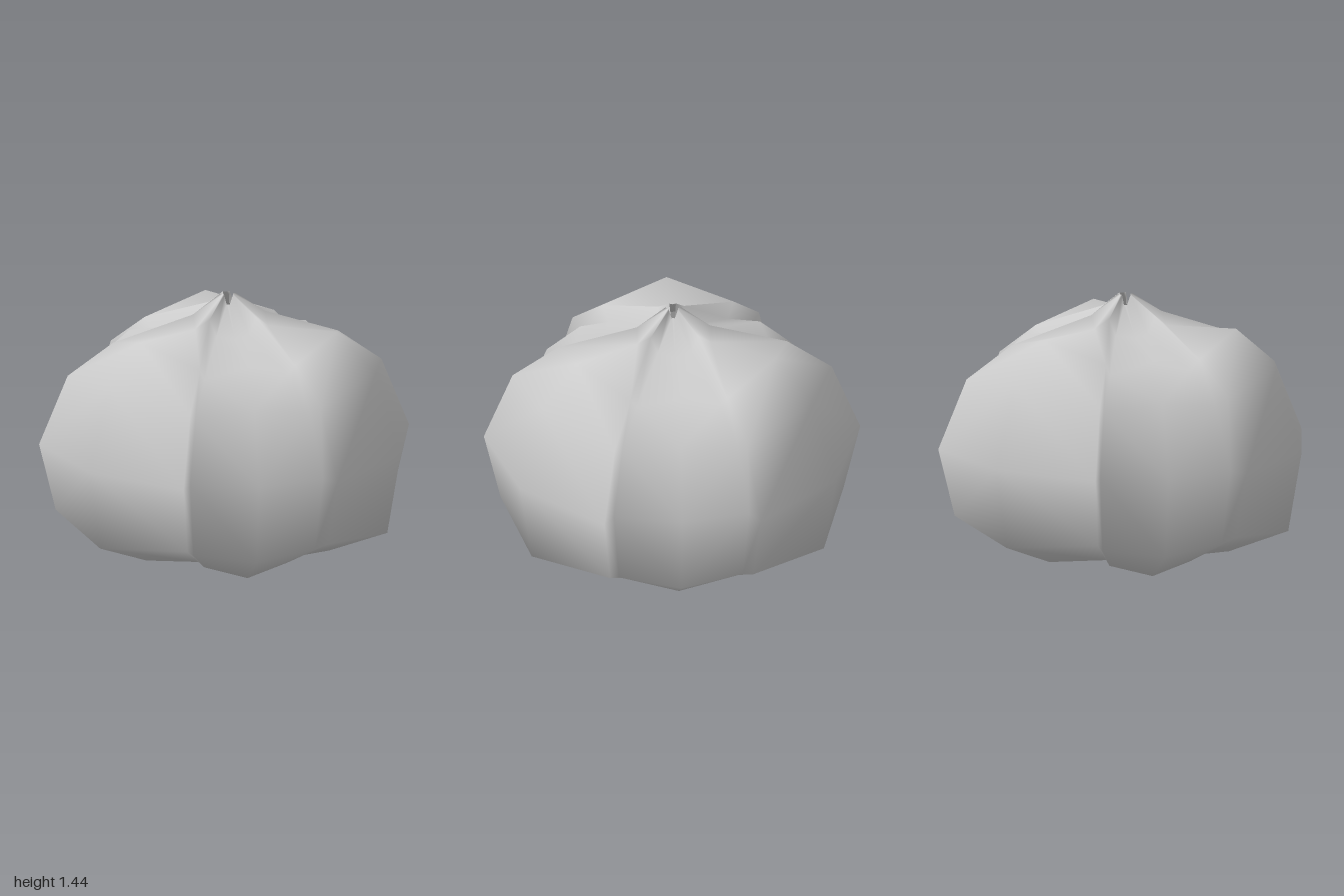
import * as THREE from 'three';

const DEG = Math.PI / 180;

// Profiles from base to tip: [radius, height, angle from the outer petal's middle]
const MIDDLE = [
  [0, 0.04, 0], [0.58, 0.05, 0], [0.91, 0.18, 0], [0.985, 0.62, 0],
  [0.845, 1.07, 0], [0.62, 1.28, 0], [0.23, 1.28, 0], [0.03, 1.44, 0],
];
const EDGE = [
  [0, 0.04, 35], [0.6, 0.1, 35], [0.93, 0.25, 35.5], [1.02, 0.62, 35.5],
  [0.865, 1.0, 35.5], [0.62, 1.18, 35], [0.2, 1.34, 20], [0.042, 1.44, 25],
];
const VALLEY = [
  [0, 0.04, 36], [0.56, 0.06, 36], [0.82, 0.2, 36], [0.895, 0.61, 36],
  [0.77, 0.95, 36], [0.55, 1.11, 36], [0.17, 1.24, 28], [0.02, 1.38, 35],
];
const INNER = [
  [0, 0.04, 60], [0.56, 0.0, 60], [0.82, 0.16, 60], [0.88, 0.6, 60],
  [0.76, 0.99, 60], [0.56, 1.18, 60], [0.21, 1.24, 60], [0.015, 1.38, 60],
];

// Three overlapping outer petals, folded into the three inner petals between them
function budGeometry() {
  const columns = [];
  for (let i = 0; i < 3; i++) {
    const add = (profile, side) => columns.push(profile.map(([r, y, angle]) => {
      const a = (10 + i * 120 + side * angle) * DEG;
      return [r * Math.cos(a), y, r * Math.sin(a)];
    }));
    add(INNER, -1);
    add(VALLEY, -1);
    add(EDGE, -1);
    add(MIDDLE, 1);
    add(EDGE, 1);
    add(VALLEY, 1);
  }
  const rows = MIDDLE.length;
  const index = [];
  columns.forEach((column, c) => {
    const next = ((c + 1) % columns.length) * rows;
    for (let j = 0; j < rows - 1; j++) {
      const a = c * rows + j;
      const b = next + j;
      // diagonals mirror about each petal's middle
      if (c % 6 < 3) index.push(a, a + 1, b + 1, a, b + 1, b);
      else index.push(a, a + 1, b, a + 1, b + 1, b);
    }
  });
  const geometry = new THREE.BufferGeometry();
  geometry.setAttribute('position', new THREE.Float32BufferAttribute(columns.flat(2), 3));
  geometry.setIndex(index);
  geometry.computeVertexNormals();
  return geometry;
}

export function createModel() {
  const model = new THREE.Group();
  model.name = 'closedBud';
  const material = new THREE.MeshStandardMaterial({ color: 0xcccccc, side: THREE.DoubleSide });
  const petals = new THREE.Mesh(budGeometry(), material);
  petals.name = 'foldedPetals';
  petals.position.set(0.005, 0, -0.012);
  model.add(petals);
  return model;
}
